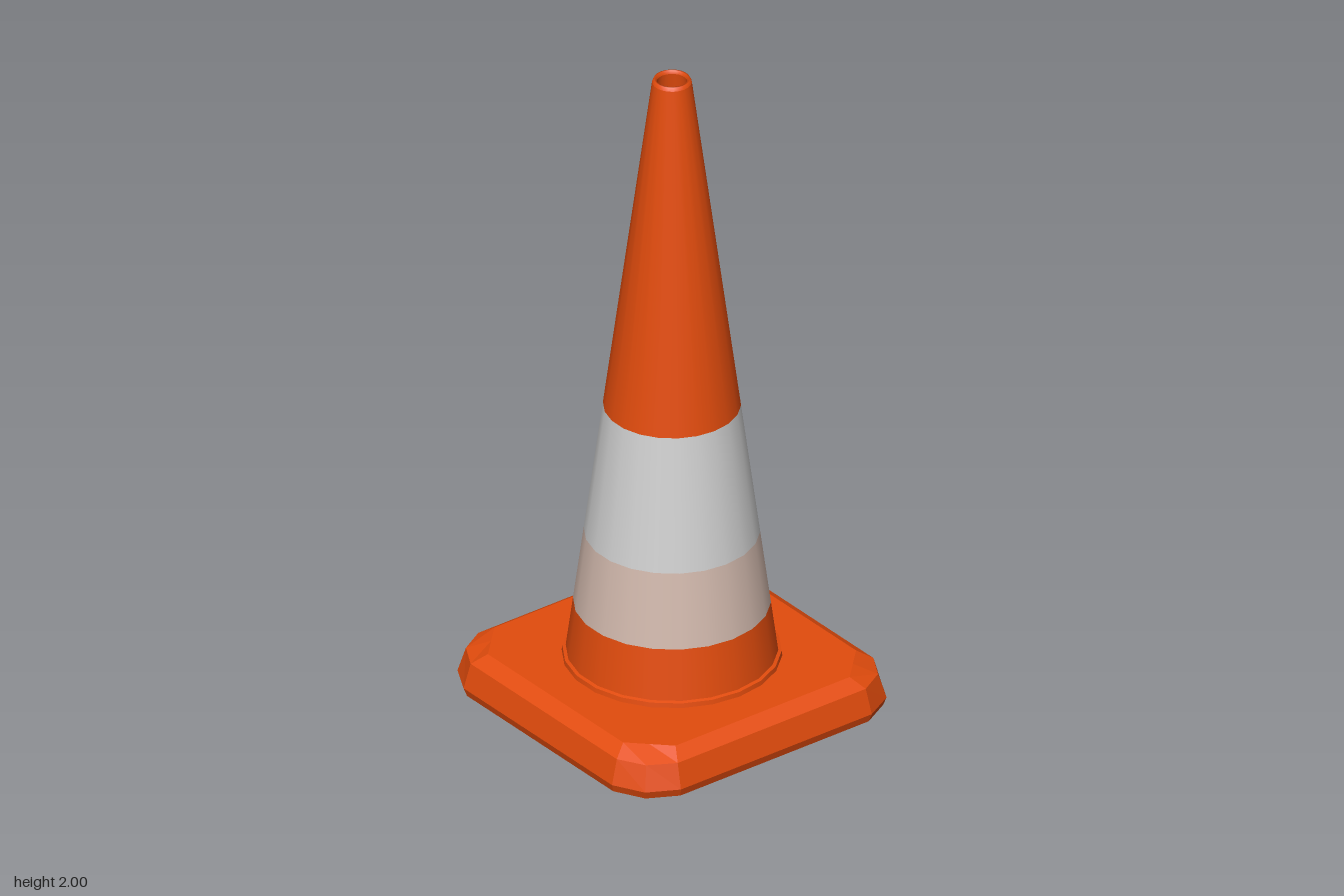
import * as THREE from 'three';

const orange = new THREE.MeshStandardMaterial({ color: 0xe34c0d });
orange.name = 'orange plastic';
const white = new THREE.MeshStandardMaterial({ color: 0xd0d0d0 });
white.name = 'reflective white';
const pink = new THREE.MeshStandardMaterial({ color: 0xd2b9ad });
pink.name = 'faded white';

const SIDES = 22;
// Straight taper of the cone's outer wall
const radiusAt = (y) => 0.3 + (0.055 - 0.3) * (y - 0.14) / (2 - 0.14);

function add(group, name, geometry, material) {
  const mesh = new THREE.Mesh(geometry, material);
  mesh.name = name;
  group.add(mesh);
  return mesh;
}

function lathe(points) {
  return new THREE.LatheGeometry(points.map(([r, y]) => new THREE.Vector2(r, y)), SIDES);
}

// Twelve-point outline of the square base: half width, end of straight side, corner point
function outline(h, c, m) {
  const ring = [];
  for (let q = 0; q < 4; q++) {
    const a = q * Math.PI / 2, cos = Math.cos(a), sin = Math.sin(a);
    for (const [x, z] of [[h, c], [m, m], [c, h]]) {
      ring.push([x * cos - z * sin, x * sin + z * cos]);
    }
  }
  return ring;
}

// Flat-faced skirt through stacked outlines
function skirt(levels) {
  const pos = [];
  for (let k = 0; k < levels.length - 1; k++) {
    const [lo, hi] = [levels[k], levels[k + 1]];
    const n = lo.ring.length;
    for (let i = 0; i < n; i++) {
      const j = (i + 1) % n;
      const at = (level, t) => [level.ring[t][0], level.y, level.ring[t][1]];
      const a = at(lo, i), b = at(lo, j), c = at(hi, j), d = at(hi, i);
      pos.push(...a, ...d, ...c, ...a, ...c, ...b);
    }
  }
  const geometry = new THREE.BufferGeometry();
  geometry.setAttribute('position', new THREE.Float32BufferAttribute(pos, 3));
  geometry.computeVertexNormals();
  return geometry;
}

// Horizontal plate with a round hole, facing up or down
function plate(level, hole, up) {
  const shape = new THREE.Shape(level.ring.map(([x, z]) => new THREE.Vector2(x, z)));
  const path = new THREE.Path();
  path.absarc(0, 0, hole, 0, Math.PI * 2, true);
  shape.holes.push(path);
  const geometry = new THREE.ShapeGeometry(shape, SIDES);
  geometry.rotateX(up ? -Math.PI / 2 : Math.PI / 2);
  geometry.translate(0, level.y, 0);
  return geometry;
}

export function createModel() {
  const model = new THREE.Group();
  model.name = 'trafficCone';

  // Square base with clipped corners and bevelled top edge
  const base = new THREE.Group();
  base.name = 'base';
  model.add(base);
  const levels = [
    { y: 0, ring: outline(0.47, 0.335, 0.423) },
    { y: 0.025, ring: outline(0.478, 0.34, 0.43) },
    { y: 0.1, ring: outline(0.457, 0.335, 0.413) },
    { y: 0.128, ring: outline(0.415, 0.31, 0.3625) },
  ];
  add(base, 'baseSides', skirt(levels), orange);
  add(base, 'baseTop', plate(levels[3], 0.295, true), orange);
  add(base, 'baseUnderside', plate(levels[0], 0.278, false), orange);

  // Low collar where the cone meets the base
  add(model, 'collar', lathe([[0.311, 0.126], [0.309, 0.142]]), orange);
  add(model, 'collarTop', lathe([[0.309, 0.142], [0.295, 0.146]]), orange);

  // Hollow cone: each colour band has an outer and an inner wall
  const wall = 0.013;
  const bands = [
    ['lowerBand', 0.13, 0.3, orange],
    ['fadedBand', 0.3, 0.53, pink],
    ['whiteBand', 0.53, 0.94, white],
    ['upperBand', 0.94, 1.99, orange],
  ];
  for (const [name, y0, y1, material] of bands) {
    const r0 = radiusAt(y0), r1 = radiusAt(y1);
    add(model, name, lathe([[r0, y0], [r1, y1]]), material);
    add(model, name + 'Inside', lathe([[r1 - wall, y1], [r0 - wall, y0]]), material);
  }
  add(model, 'baseHoleWall', lathe([[radiusAt(0.13) - wall, 0.13], [0.278, 0]]), orange);

  // Rim around the open tip
  const r = radiusAt(1.99);
  add(model, 'tipRim', lathe([[r, 1.99], [r - 0.005, 2], [r - 0.01, 2], [r - wall, 1.99]]), orange);

  return model;
}
